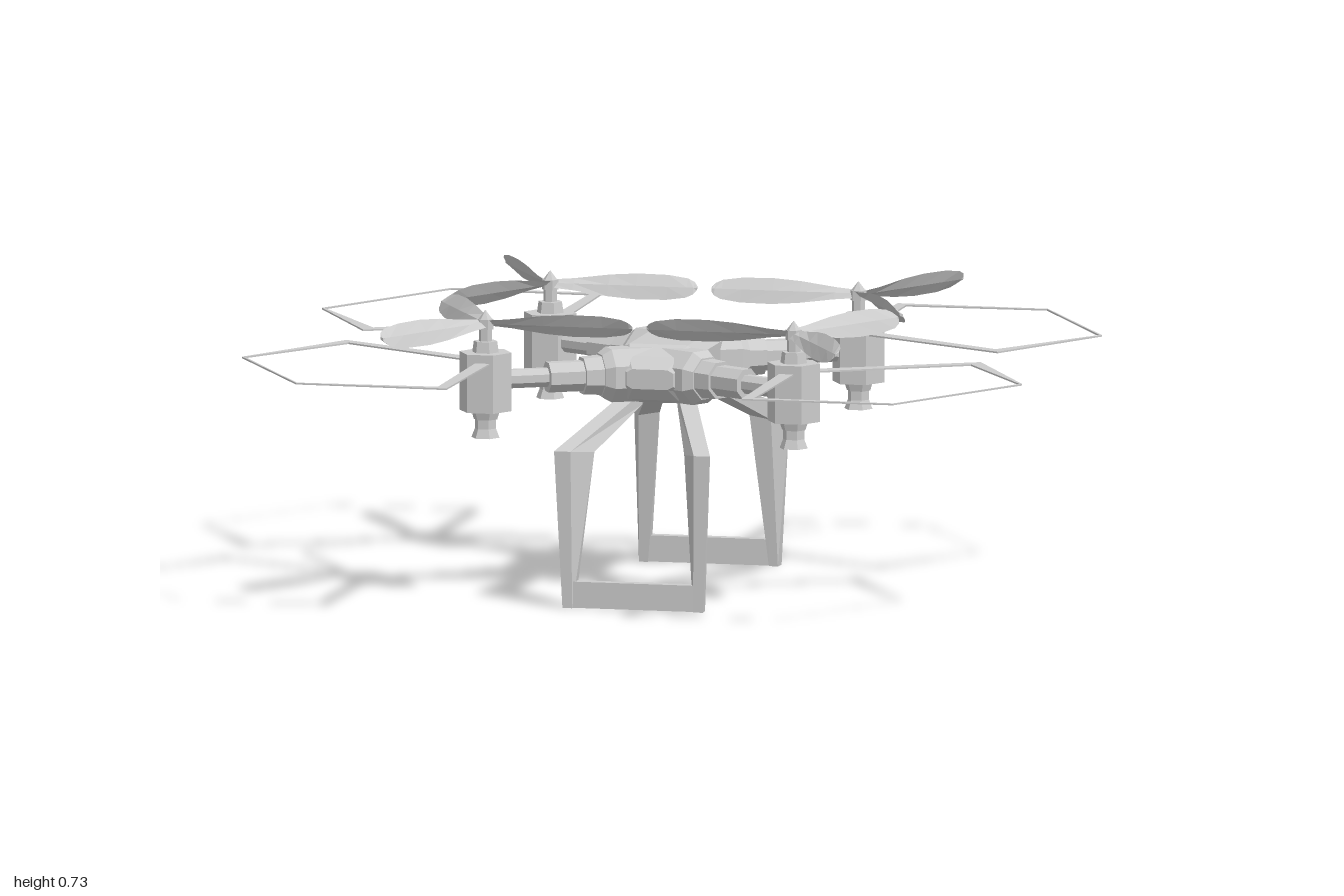
import * as THREE from 'three';

const material = new THREE.MeshStandardMaterial({ color: 0xcccccc, flatShading: true, side: THREE.DoubleSide });

function add(parent, name, geometry) {
  const mesh = new THREE.Mesh(geometry, material);
  mesh.name = name;
  parent.add(mesh);
  return mesh;
}

// Solid through a series of equal-sized rings, turned outward by its signed volume
function loft(rings, closed = false) {
  const tris = [];
  const n = rings[0].length;
  const last = closed ? rings.length : rings.length - 1;
  for (let i = 0; i < last; i++) {
    const p = rings[i], q = rings[(i + 1) % rings.length];
    for (let j = 0; j < n; j++) {
      const k = (j + 1) % n;
      tris.push([p[j], p[k], q[k]], [p[j], q[k], q[j]]);
    }
  }
  if (!closed) {
    const a = rings[0], b = rings[rings.length - 1];
    for (let j = 1; j < n - 1; j++) tris.push([a[0], a[j + 1], a[j]], [b[0], b[j], b[j + 1]]);
  }
  let volume = 0;
  for (const [a, b, c] of tris) {
    volume += new THREE.Vector3(...a).dot(new THREE.Vector3(...b).cross(new THREE.Vector3(...c)));
  }
  if (volume < 0) tris.forEach((t) => t.reverse());
  const geometry = new THREE.BufferGeometry();
  geometry.setAttribute('position', new THREE.Float32BufferAttribute(tris.flat(2), 3));
  geometry.computeVertexNormals();
  return geometry;
}

// Chamfered hull, octagonal in section and tapered at both ends
function bodyGeometry() {
  const half = [[0.238, 0.06, 0.53, 0.58], [0.2, 0.085, 0.498, 0.607], [0.14, 0.1, 0.483, 0.63]];
  const stations = [...half, ...half.map(([z, ...rest]) => [-z, ...rest]).reverse()];
  return loft(stations.map(([z, w, lo, hi]) => {
    const c = (hi - lo) * 0.17, t = w * 0.75;
    return [[-t, lo, z], [t, lo, z], [w, lo + c, z], [w, hi - c, z],
      [t, hi, z], [-t, hi, z], [-w, hi - c, z], [-w, lo + c, z]];
  }));
}

// Pitched propeller blade running along -x, with a blunt rounded tip
function bladeGeometry() {
  const stations = [[0, 0.008, 0.014], [0.06, 0.013, 0.016], [0.15, 0.025, 0.017],
    [0.22, 0.03, 0.018], [0.3, 0.029, 0.017], [0.35, 0.022, 0.016], [0.368, 0.014, 0.012], [0.376, 0.005, 0.005]];
  const t = 0.004;
  return loft(stations.map(([u, h, w]) => [
    [-u, h, w], [-u, t * 0.5, -t], [-u, -h, -w], [-u, -t * 0.5, t],
  ]));
}

// Flat hexagonal hoop, wide beside the motor and very thin at the far side
function guardGeometry() {
  const outer = [[0.37, 0.345], [0.378, 0.838], [0.765, 0.832], [1, 0.428], [0.813, 0.09], [0.385, 0.325]];
  const inner = [[0.408, 0.4], [0.406, 0.812], [0.764, 0.825], [0.993, 0.428], [0.798, 0.133], [0.43, 0.35]];
  const y0 = 0.602, y1 = 0.606;
  return loft(outer.map(([x, z], i) => {
    const [a, b] = inner[i];
    return [[x, y0, z], [x, y1, z], [a, y1, b], [a, y0, b]];
  }));
}

// Bent landing leg: splayed strut from the hull to the knee, then down to the foot
function legGeometry() {
  return loft([
    [[0.045, 0.505, 0.13], [0.09, 0.505, 0.13], [0.09, 0.475, 0.13], [0.045, 0.475, 0.13]],
    [[0.158, 0.395, 0.428], [0.2, 0.395, 0.428], [0.17, 0.375, 0.35], [0.115, 0.385, 0.35]],
    [[0.155, 0, 0.422], [0.18, 0, 0.422], [0.178, 0, 0.39], [0.155, 0, 0.39]],
  ]);
}

// One corner: arm, motor, propeller, guard and leg at +x +z
function quarter() {
  const group = new THREE.Group();
  const motor = new THREE.Vector3(0.395, 0, 0.347);

  // Stepped arm reaching from the hull to the motor
  const arm = new THREE.Group();
  arm.name = 'arm';
  arm.position.set(motor.x, 0.557, motor.z);
  arm.rotation.y = Math.PI - Math.PI / 6;
  const steps = [['armRod', 0.03, 0.2, 0.025, 0.025], ['armSleeve', 0.16, 0.255, 0.04, 0.04],
    ['armCollar', 0.25, 0.3, 0.049, 0.052], ['armSocketRim', 0.297, 0.32, 0.056, 0.072],
    ['armSocket', 0.32, 0.43, 0.072, 0.072]];
  for (const [name, from, to, r0, r1] of steps) {
    const g = new THREE.CylinderGeometry(r1, r0, to - from, 8);
    g.rotateY(Math.PI / 8);
    g.rotateZ(-Math.PI / 2);
    g.translate((from + to) / 2, 0, 0);
    add(arm, name, g);
  }
  group.add(arm);

  // Hexagonal motor housing with a flared tail, shaft and pointed cap
  const stack = [['motorHousing', 0.48, 0.627, 0.067, 0.067], ['motorCollar', 0.627, 0.655, 0.034, 0.03],
    ['motorTailCollar', 0.458, 0.48, 0.03, 0.037], ['motorTail', 0.435, 0.458, 0.027, 0.027],
    ['motorTailFlare', 0.412, 0.435, 0.036, 0.027], ['propellerShaft', 0.655, 0.69, 0.017, 0.017],
    ['propellerHub', 0.685, 0.71, 0.021, 0.021], ['propellerCap', 0.71, 0.732, 0.018, 0.001]];
  for (const [name, lo, hi, r0, r1] of stack) {
    const g = new THREE.CylinderGeometry(r1, r0, hi - lo, 6);
    g.rotateY(Math.PI / 6);
    add(group, name, g).position.set(motor.x, (lo + hi) / 2, motor.z);
  }

  // Three blades, one pointing inward
  const propeller = new THREE.Group();
  propeller.name = 'propeller';
  propeller.position.set(motor.x, 0.7, motor.z);
  const blade = bladeGeometry();
  for (let i = 0; i < 3; i++) add(propeller, 'propellerBlade', blade).rotation.y = i * Math.PI * 2 / 3;
  group.add(propeller);

  const guard = add(group, 'propellerGuard', new THREE.BufferGeometry());
  guard.geometry = guardGeometry(true);
  add(group, 'landingLeg', legGeometry());
  return group;
}

export function createModel() {
  const model = new THREE.Group();
  model.name = 'quadcopter';
  add(model, 'body', bodyGeometry());

  for (const sz of [1, -1]) {
    for (const sx of [1, -1]) {
      const corner = quarter();
      corner.name = (sz > 0 ? 'front' : 'back') + (sx > 0 ? 'Left' : 'Right') + 'Corner';
      corner.scale.set(sx, 1, sz);
      model.add(corner);
    }
    // Foot bar joining each pair of legs
    add(model, 'footBar', new THREE.BoxGeometry(0.34, 0.066, 0.028)).position.set(0, 0.034, sz * 0.406);
  }
  return model;
}
